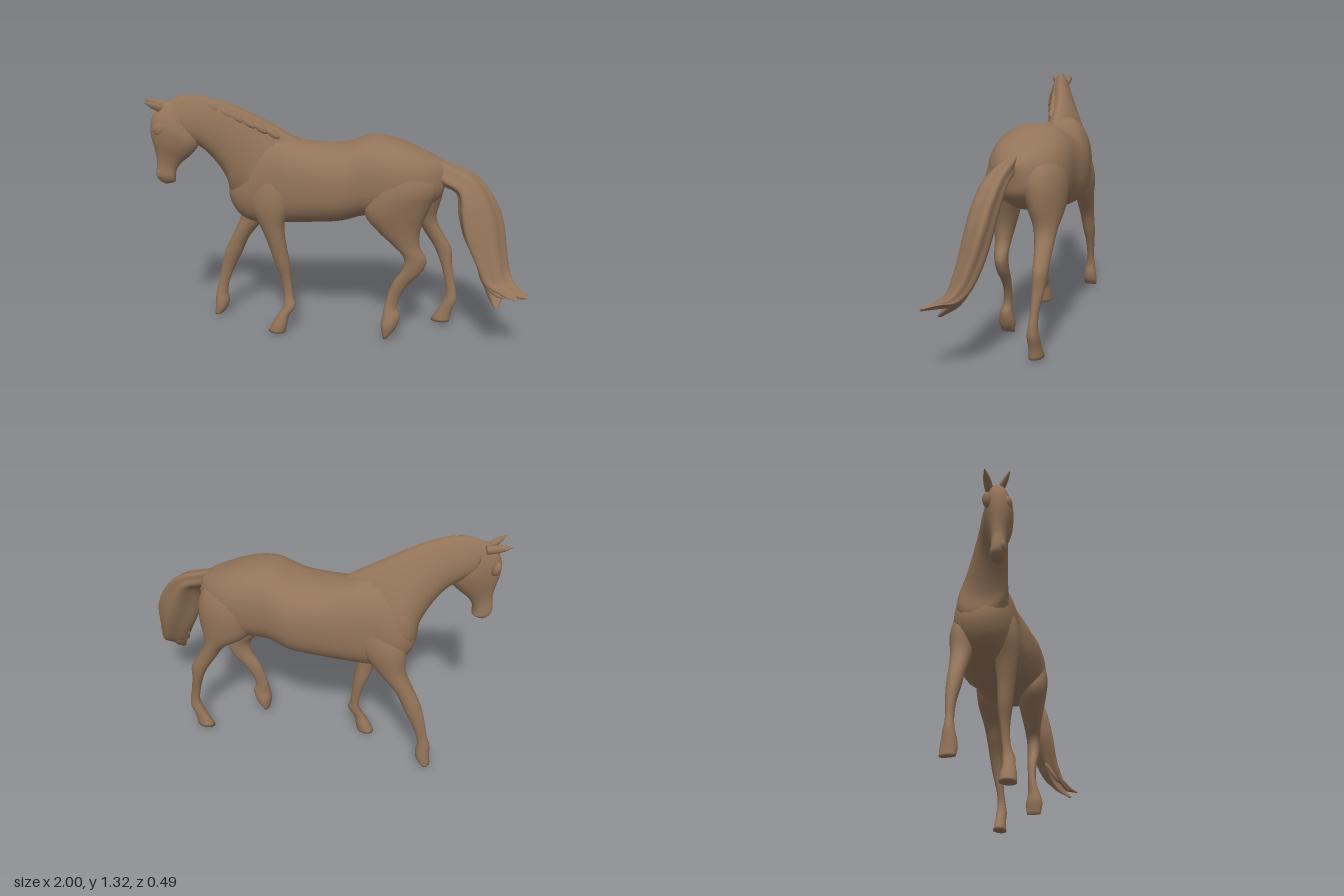
import * as THREE from 'three';

const coat = new THREE.MeshStandardMaterial({ color: 0x937459 });
coat.name = 'brown coat';

// Skin through cross-sections. Each row: front/top edge (x, y), back/bottom edge (x, y),
// centre z, half width. Rows are joined by smooth curves and closed at both ends.
// lean shifts the front edge sideways in proportion to the depth of the section.
function loft(name, rows, { yaw = 0, lean = 0, taper = 0, power = 2, ripple = 0, sides = 20, steps = 4 } = {}) {
  const curveA = new THREE.CatmullRomCurve3(rows.map(r => new THREE.Vector3(r[0], r[1], r[4])));
  const curveB = new THREE.CatmullRomCurve3(rows.map(r => new THREE.Vector3(r[2], r[3], r[5])));
  const pos = [], idx = [], n = (rows.length - 1) * steps;
  const first = new THREE.Vector3(), last = new THREE.Vector3();
  const round = v => Math.sign(v) * Math.abs(v) ** (2 / power);
  for (let i = 0; i <= n; i++) {
    const a = curveA.getPoint(i / n), b = curveB.getPoint(i / n);
    const cx = (a.x + b.x) / 2, cy = (a.y + b.y) / 2, ux = (a.x - b.x) / 2, uy = (a.y - b.y) / 2;
    const shift = lean * Math.hypot(ux, uy);
    if (i === 0) first.set(cx, cy, a.z);
    if (i === n) last.set(cx, cy, a.z);
    for (let j = 0; j < sides; j++) {
      const t = j / sides * Math.PI * 2, k = 1 + ripple * Math.cos(5 * t + i * 0.15);
      const c = round(Math.cos(t)) * k, s = round(Math.sin(t)) * k * b.z * (1 - taper * Math.cos(t));
      pos.push(cx + ux * c + s * Math.sin(yaw), cy + uy * c, a.z + shift * c + s * Math.cos(yaw));
    }
  }
  for (let i = 0; i < n; i++) for (let j = 0; j < sides; j++) {
    const a = i * sides + j, b = i * sides + (j + 1) % sides;
    idx.push(a, a + sides, b, b, a + sides, b + sides);
  }
  const s = pos.length / 3, e = s + 1, end = n * sides;
  pos.push(...first.toArray(), ...last.toArray());
  for (let j = 0; j < sides; j++) {
    const k = (j + 1) % sides;
    idx.push(s, j, k, e, end + k, end + j);
  }
  const g = new THREE.BufferGeometry();
  g.setAttribute('position', new THREE.Float32BufferAttribute(pos, 3));
  g.setIndex(idx);
  g.computeVertexNormals();
  const mesh = new THREE.Mesh(g, coat);
  mesh.name = name;
  return mesh;
}

function blob(name, p, size, tilt = 0) {
  const mesh = new THREE.Mesh(new THREE.SphereGeometry(1, 14, 10), coat);
  mesh.name = name;
  mesh.position.set(...p);
  mesh.scale.set(...size);
  mesh.rotation.z = tilt;
  return mesh;
}

export function createModel() {
  const horse = new THREE.Group();
  horse.name = 'horse';

  // Barrel, from rump to shoulders
  horse.add(loft('body', [
    [0.57, 0.95, 0.56, 0.87, -0.03, 0.025],
    [0.53, 0.99, 0.54, 0.80, -0.035, 0.09],
    [0.43, 1.04, 0.46, 0.74, -0.037, 0.165],
    [0.30, 1.09, 0.32, 0.69, -0.032, 0.205],
    [0.17, 1.11, 0.14, 0.685, -0.032, 0.204],
    [0.03, 1.065, 0.02, 0.65, -0.035, 0.213],
    [-0.12, 1.06, -0.12, 0.635, -0.032, 0.20],
    [-0.22, 1.075, -0.28, 0.62, -0.03, 0.173],
    [-0.32, 1.10, -0.42, 0.61, -0.02, 0.155],
    [-0.40, 1.08, -0.53, 0.645, -0.015, 0.14],
    [-0.46, 1.04, -0.595, 0.74, -0.01, 0.108],
    [-0.53, 0.97, -0.60, 0.84, 0, 0.05],
  ], { sides: 32, power: 2.45, taper: 0.04 }));

  // Neck, bending toward the left side
  horse.add(loft('neck', [
    [-0.14, 1.03, -0.28, 0.80, -0.02, 0.08],
    [-0.28, 1.12, -0.45, 0.70, -0.01, 0.118],
    [-0.39, 1.185, -0.59, 0.76, 0.008, 0.118],
    [-0.49, 1.24, -0.605, 0.86, 0.037, 0.10],
    [-0.59, 1.285, -0.65, 0.96, 0.07, 0.083],
    [-0.70, 1.318, -0.71, 1.04, 0.105, 0.07],
    [-0.80, 1.32, -0.77, 1.08, 0.13, 0.061],
    [-0.88, 1.285, -0.83, 1.12, 0.148, 0.045],
  ], { taper: 0.33, lean: 0.05, yaw: 0.14 }));

  // Head, narrow at the poll, broad at the eyes, slim toward the muzzle
  horse.add(loft('head', [
    [-0.83, 1.30, -0.77, 1.24, 0.13, 0.02],
    [-0.90, 1.278, -0.745, 1.14, 0.145, 0.05],
    [-0.945, 1.21, -0.725, 1.065, 0.16, 0.069],
    [-0.955, 1.13, -0.76, 1.015, 0.168, 0.062],
    [-0.942, 1.04, -0.815, 0.97, 0.17, 0.043],
    [-0.935, 0.98, -0.842, 0.93, 0.172, 0.036],
    [-0.943, 0.92, -0.848, 0.89, 0.173, 0.039],
    [-0.938, 0.882, -0.85, 0.872, 0.166, 0.034],
    [-0.915, 0.86, -0.87, 0.862, 0.16, 0.02],
  ], { yaw: 0.45, lean: 0.25, power: 2.2 }));
  horse.add(blob('leftBrow', [-0.897, 1.16, 0.218], [0.042, 0.036, 0.02], 0.6));
  horse.add(blob('rightBrow', [-0.94, 1.165, 0.128], [0.022, 0.038, 0.022], 0.3));
  horse.add(blob('leftNostril', [-0.918, 0.917, 0.2], [0.022, 0.026, 0.012], 0.3));

  // Ears: short pointed lofts
  const ear = (name, bx, by, bz, tx, ty, tz) => loft(name, [0, 0.35, 0.7, 1].map((t, i) => {
    const x = bx + (tx - bx) * t, y = by + (ty - by) * t, r = [0.02, 0.02, 0.014, 0.002][i];
    return [x + r * 0.4, y + r, x - r * 0.4, y - r, bz + (tz - bz) * t, r];
  }), { sides: 10 });
  horse.add(ear('rightEar', -0.88, 1.262, 0.125, -1.0, 1.295, 0.13));
  horse.add(ear('leftEar', -0.87, 1.245, 0.165, -0.958, 1.298, 0.24));

  // Low mane tufts along the crest
  for (let i = 0; i < 6; i++) {
    const t = i / 5;
    horse.add(blob('maneTuft', [-0.65 + 0.3 * t, 1.265 - 0.145 * t, 0.115 - 0.065 * t], [0.05, 0.02, 0.02], -0.6));
  }

  // Front legs, shoulder to hoof
  horse.add(loft('leftFrontLeg', [
    [-0.43, 0.99, -0.29, 0.99, 0.035, 0.06],
    [-0.49, 0.86, -0.25, 0.86, 0.062, 0.075],
    [-0.49, 0.74, -0.25, 0.75, 0.08, 0.073],
    [-0.42, 0.62, -0.285, 0.63, 0.085, 0.056],
    [-0.375, 0.50, -0.277, 0.51, 0.08, 0.042],
    [-0.348, 0.40, -0.263, 0.40, 0.07, 0.035],
    [-0.316, 0.31, -0.257, 0.31, 0.065, 0.024],
    [-0.30, 0.21, -0.247, 0.21, 0.07, 0.021],
    [-0.307, 0.15, -0.234, 0.16, 0.08, 0.029],
    [-0.333, 0.105, -0.268, 0.1, 0.088, 0.03],
    [-0.365, 0.05, -0.28, 0.05, 0.09, 0.039],
    [-0.388, 0.003, -0.29, 0.003, 0.09, 0.042],
  ], { lean: -0.12 }));
  horse.add(loft('rightFrontLeg', [
    [-0.43, 0.99, -0.29, 0.99, -0.065, 0.06],
    [-0.51, 0.86, -0.27, 0.86, -0.09, 0.078],
    [-0.565, 0.74, -0.33, 0.74, -0.108, 0.07],
    [-0.575, 0.61, -0.43, 0.61, -0.105, 0.054],
    [-0.63, 0.49, -0.53, 0.49, -0.1, 0.042],
    [-0.672, 0.40, -0.582, 0.38, -0.1, 0.036],
    [-0.70, 0.30, -0.628, 0.29, -0.1, 0.026],
    [-0.72, 0.20, -0.662, 0.20, -0.095, 0.021],
    [-0.738, 0.14, -0.672, 0.14, -0.092, 0.028],
    [-0.742, 0.10, -0.665, 0.09, -0.09, 0.036],
    [-0.745, 0.05, -0.675, 0.045, -0.09, 0.041],
    [-0.75, 0.005, -0.70, 0.012, -0.09, 0.038],
  ], { lean: 0.12 }));

  // Hind legs, haunch to hoof
  horse.add(loft('leftHindLeg', [
    [0.27, 1.03, 0.42, 1.01, 0.03, 0.06],
    [0.20, 0.94, 0.50, 0.94, 0.053, 0.098],
    [0.17, 0.84, 0.53, 0.86, 0.072, 0.104],
    [0.15, 0.725, 0.49, 0.76, 0.085, 0.088],
    [0.22, 0.63, 0.44, 0.63, 0.085, 0.064],
    [0.30, 0.55, 0.44, 0.54, 0.08, 0.045],
    [0.357, 0.48, 0.478, 0.46, 0.075, 0.037],
    [0.35, 0.41, 0.455, 0.395, 0.075, 0.034],
    [0.305, 0.34, 0.388, 0.32, 0.078, 0.027],
    [0.275, 0.26, 0.343, 0.25, 0.082, 0.022],
    [0.258, 0.19, 0.328, 0.185, 0.088, 0.024],
    [0.25, 0.13, 0.345, 0.14, 0.095, 0.035],
    [0.243, 0.09, 0.325, 0.07, 0.097, 0.045],
    [0.255, 0.013, 0.285, 0.02, 0.097, 0.036],
  ], { lean: 0.2 }));
  horse.add(loft('rightHindLeg', [
    [0.27, 1.03, 0.42, 1.01, -0.09, 0.06],
    [0.20, 0.94, 0.52, 0.94, -0.118, 0.1],
    [0.20, 0.84, 0.55, 0.86, -0.14, 0.104],
    [0.26, 0.72, 0.54, 0.75, -0.157, 0.086],
    [0.40, 0.62, 0.515, 0.63, -0.17, 0.056],
    [0.46, 0.53, 0.56, 0.53, -0.175, 0.042],
    [0.505, 0.46, 0.604, 0.45, -0.177, 0.037],
    [0.545, 0.37, 0.61, 0.37, -0.173, 0.031],
    [0.575, 0.26, 0.628, 0.26, -0.163, 0.021],
    [0.585, 0.19, 0.643, 0.19, -0.158, 0.023],
    [0.567, 0.13, 0.645, 0.145, -0.157, 0.029],
    [0.545, 0.09, 0.62, 0.075, -0.157, 0.03],
    [0.503, 0.017, 0.61, 0.017, -0.157, 0.036],
  ], { lean: -0.07 }));

  // Tail, swinging back and left, ending in loose locks
  horse.add(loft('tail', [
    [0.46, 0.92, 0.49, 1.01, -0.015, 0.03],
    [0.54, 0.87, 0.58, 0.975, -0.005, 0.048],
    [0.62, 0.83, 0.71, 0.92, 0.01, 0.062],
    [0.635, 0.73, 0.80, 0.82, 0.035, 0.07],
    [0.665, 0.61, 0.86, 0.69, 0.055, 0.07],
    [0.73, 0.48, 0.885, 0.55, 0.08, 0.064],
    [0.79, 0.37, 0.91, 0.43, 0.118, 0.054],
    [0.85, 0.33, 0.94, 0.385, 0.155, 0.044],
    [0.92, 0.338, 0.965, 0.38, 0.19, 0.03],
    [0.99, 0.347, 1.0, 0.365, 0.23, 0.01],
  ], { ripple: 0.08, lean: 0.4, sides: 40 }));
  const lock = (name, z, dx, dy, dz) => loft(name, [
    [0.74, 0.47, 0.85, 0.50, 0.09, 0.03],
    [0.78, 0.375, 0.875, 0.40, 0.13 + z, 0.036],
    [0.805 + dx / 2, 0.315 + dy / 2, 0.88 + dx / 2, 0.345 + dy / 2, 0.165 + z, 0.028],
    [0.84 + dx, 0.272 + dy, 0.862 + dx, 0.285 + dy, 0.215 + dz, 0.008],
  ], { ripple: 0.08 });
  horse.add(lock('innerTailLock', -0.01, 0, 0, 0));
  horse.add(lock('outerTailLock', 0.015, 0.09, 0.06, 0.02));

  return horse;
}
